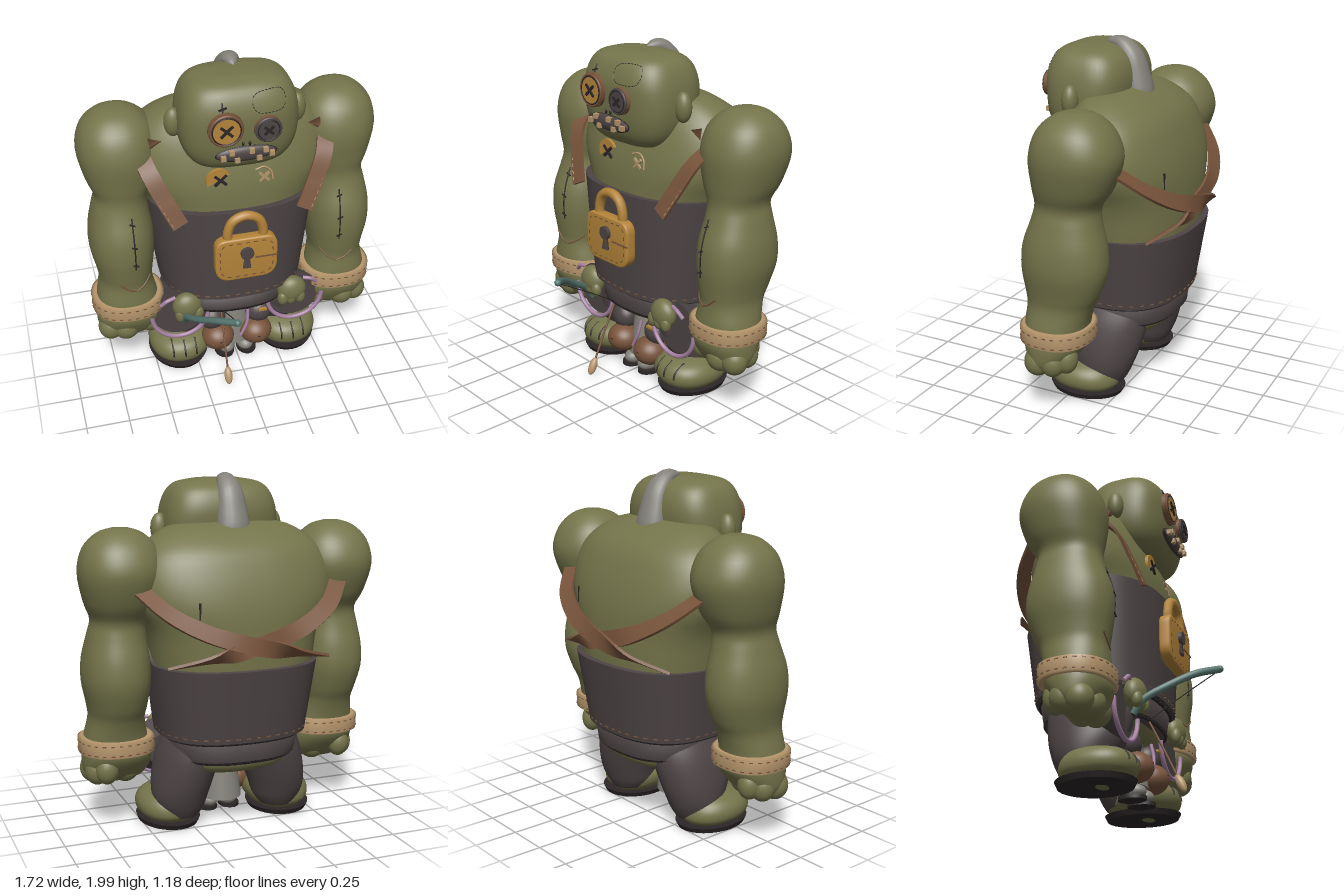
import * as THREE from 'three';
import { toCreasedNormals } from 'three/addons/utils/BufferGeometryUtils.js';

const V = (x, y, z) => new THREE.Vector3(x, y, z);
const mat = (name, color) => { const m = new THREE.MeshStandardMaterial({ color }); m.name = name; return m; };

export function createModel() {
  const root = new THREE.Group();
  root.name = 'stitchedOgre';
  const green = mat('olive skin', 0x74744b), dark = mat('dark cloth', 0x4e4545), brown = mat('brown leather', 0x78543c),
    gold = mat('brass', 0xb5853a), tan = mat('tan', 0xb6966c), grey = mat('horn grey', 0x84827a),
    pink = mat('pink trim', 0xa883a4), teal = mat('teal', 0x56766f), black = mat('black', 0x2c2627);

  const add = (name, geo, m, p = [0, 0, 0], s = [1, 1, 1], r = [0, 0, 0]) => {
    const o = new THREE.Mesh(geo, m);
    o.name = name; o.position.set(...p); o.scale.set(...s); o.rotation.set(...r);
    root.add(o);
    return o;
  };
  const ball = (name, m, p, s, r) => add(name, new THREE.SphereGeometry(1, 28, 18), m, p, s, r);
  const box = (name, m, p, s, r) => add(name, new THREE.BoxGeometry(1, 1, 1), m, p, s, r);
  const disc = (name, m, p, r, h) => add(name, new THREE.CylinderGeometry(r, r, h, 32), m, p, [1, 1, 1], [Math.PI / 2, 0, 0]);
  const curve = (pts, closed) => new THREE.CatmullRomCurve3(pts, closed);
  const tube = (name, m, pts, r) => add(name, new THREE.TubeGeometry(curve(pts), 28, r, 8), m);

  // Surface through closed rings of points, with fan caps
  const grid = (rings) => {
    const n = rings[0].length, pos = [], idx = [];
    rings.forEach(r => r.forEach(p => pos.push(p.x, p.y, p.z)));
    for (let i = 0; i < rings.length - 1; i++) for (let j = 0; j < n; j++) {
      const a = i * n + j, b = i * n + (j + 1) % n;
      idx.push(a, a + n, b, b, a + n, b + n);
    }
    [rings[0], rings[rings.length - 1]].forEach((r, e) => {
      const c = r.reduce((s, p) => s.add(p), V(0, 0, 0)).divideScalar(n), k = pos.length / 3;
      pos.push(c.x, c.y, c.z);
      const o = e ? (rings.length - 1) * n : 0;
      for (let j = 0; j < n; j++) { const a = o + j, b = o + (j + 1) % n; e ? idx.push(k, b, a) : idx.push(k, a, b); }
    });
    const g = new THREE.BufferGeometry();
    g.setAttribute('position', new THREE.Float32BufferAttribute(pos, 3));
    g.setIndex(idx);
    g.computeVertexNormals();
    return g;
  };
  // Rounded-square cross-section; a section is [y, centre x, half width, front z, back z]
  const pw = (v, n) => Math.sign(v) * Math.abs(v) ** (2 / n);
  const point = (s, a, n) => V(s[1] + s[2] * pw(Math.cos(a), n), s[0], (s[3] + s[4]) / 2 + (s[3] - s[4]) / 2 * pw(Math.sin(a), n));
  const ring = (s, n, seg = 56) => Array.from({ length: seg }, (_, j) => point(s, j / seg * Math.PI * 2, n));
  const smooth = (secs, k = 4) => {
    const out = [];
    for (let i = 0; i < secs.length - 1; i++) for (let q = 0; q < k; q++) {
      const a = secs[Math.max(i - 1, 0)], b = secs[i], c = secs[i + 1], d = secs[Math.min(i + 2, secs.length - 1)], t = q / k;
      out.push(b.map((_, m) => 0.5 * (2 * b[m] + (c[m] - a[m]) * t + (2 * a[m] - 5 * b[m] + 4 * c[m] - d[m]) * t * t + (3 * b[m] - a[m] - 3 * c[m] + d[m]) * t ** 3)));
    }
    out.push(secs[secs.length - 1]);
    return out;
  };
  const loft = (name, m, secs, n) => add(name, grid(secs.map(s => ring(s, n))), m);
  const at = (secs, y) => {
    let i = secs.findIndex(s => s[0] >= y);
    i = Math.max(i < 0 ? secs.length - 1 : i, 1);
    const a = secs[i - 1], b = secs[i], t = (y - a[0]) / (b[0] - a[0]);
    return a.map((v, k) => v + (b[k] - v) * t);
  };
  // Front point of a lofted surface at x, y
  const on = (secs, n, x, y, lift = 0.002) => {
    const s = at(secs, y), d = Math.max(0, 1 - Math.abs((x - s[1]) / s[2]) ** n) ** (1 / n);
    return V(x, y, (s[3] + s[4]) / 2 + (s[3] - s[4]) / 2 * d + lift);
  };
  const dashes = (name, m, c, n, len = 0.025, w = 0.008) => {
    for (let i = 0; i < n; i++) {
      const p = c.getPointAt((i + 0.5) / n), o = box(name, m, [p.x, p.y, p.z], [w, w, len]);
      o.lookAt(p.clone().add(c.getTangentAt((i + 0.5) / n)));
    }
  };
  const cross = (name, m, x, y, z, l) => [0.75, -0.75].forEach(a => box(name, m, [x, y, z], [l, 0.014, 0.012], [0, 0, a]));
  // Flat leather strap whose width runs sideways across the body
  const strap = (name, pts, w, taper) => {
    const c = curve(pts), rings = [];
    for (let i = 0; i <= 32; i++) {
      const t = i / 32, p = c.getPoint(t), d = c.getTangent(t);
      const out = V(0, -d.z, d.y).normalize(), side = d.clone().cross(out);
      const h = w / 2 * (taper && t > 0.75 ? 1.05 - (t - 0.75) * 4 : 1);
      rings.push([[1, 1], [-1, 1], [-1, -1], [1, -1]].map(([a, b]) => p.clone().addScaledVector(side, a * h).addScaledVector(out, b * 0.008)));
    }
    add(name, toCreasedNormals(grid(rings), 0.7), brown);
  };

  // Torso
  const torso = smooth([[0.33, 0, 0.12, -0.05, -0.28], [0.37, 0, 0.3, 0.08, -0.4], [0.45, 0, 0.36, 0.14, -0.44], [0.6, 0, 0.39, 0.18, -0.48],
    [0.9, 0, 0.45, 0.2, -0.53], [1.15, 0, 0.49, 0.2, -0.538], [1.32, 0, 0.57, 0.19, -0.525], [1.48, 0, 0.57, 0.15, -0.48],
    [1.61, 0, 0.5, 0.1, -0.41], [1.71, 0, 0.35, 0.03, -0.27], [1.74, 0, 0.15, -0.03, -0.18]]);
  loft('torso', green, torso, 2.4);

  // Overalls: high bib in front, lower edge behind
  const cloth = [[0.55, 0, 0.425, 0.22, -0.505], [0.97, 0, 0.48, 0.24, -0.566], [1.18, 0, 0.508, 0.243, -0.57]];
  const rows = [];
  for (let i = -1; i <= 13; i++) {
    const t = Math.min(Math.max(i / 12, 0), 1), k = i < 0 || i > 12 ? 0.95 : 1;
    rows.push(Array.from({ length: 72 }, (_, j) => {
      const a = j / 72 * Math.PI * 2, bib = THREE.MathUtils.smoothstep(Math.sin(a), -0.1, 0.3);
      const p = point(at(cloth, 0.56 + t * (0.41 + 0.21 * bib)), a, 2.5);
      return V(p.x * k, p.y, (p.z + 0.16) * k - 0.16);
    }));
  }
  add('overalls', toCreasedNormals(grid(rows), 0.9), dark);
  loft('trousersSeat', dark, [[0.42, 0, 0.34, 0.16, -0.45], [0.44, 0, 0.365, 0.175, -0.465], [0.6, 0, 0.4, 0.195, -0.49]], 2.5);
  dashes('hemStitch', brown, curve(ring([0.585, 0, 0.427, 0.223, -0.512], 2.5, 40), true), 44, 0.025, 0.006);
  loft('hemShadowLine', black, [[0.545, 0, 0.405, 0.2, -0.49], [0.562, 0, 0.423, 0.22, -0.503]], 2.5);
  loft('lowerBelt', black, [[0.425, 0, 0.355, 0.175, -0.455], [0.44, 0, 0.37, 0.18, -0.467]], 2.5);

  // Head
  const head = smooth([[1.44, 0, 0.14, 0.15, -0.02], [1.46, 0, 0.23, 0.205, -0.08], [1.51, 0, 0.285, 0.245, -0.135], [1.59, 0, 0.32, 0.27, -0.175],
    [1.69, 0, 0.332, 0.28, -0.195], [1.8, 0, 0.322, 0.28, -0.2], [1.89, 0, 0.288, 0.25, -0.17], [1.94, 0, 0.23, 0.2, -0.11], [1.962, 0, 0.12, 0.12, -0.02]]);
  loft('head', green, head, 3);
  // Horn curling up behind the head
  const hornPath = curve([V(0, 1.63, -0.215), V(0, 1.77, -0.19), V(0, 1.89, -0.155), V(0, 1.955, -0.09), V(0, 1.96, 0)]);
  const hornRings = Array.from({ length: 25 }, (_, i) => {
    const t = i / 24, p = hornPath.getPoint(t), d = hornPath.getTangent(t), u = V(0, -d.z, d.y), r = 0.104 * Math.sqrt(1.001 - t) * Math.min(1, 0.7 + t * 3);
    return Array.from({ length: 20 }, (_, j) => {
      const a = j / 20 * Math.PI * 2;
      return p.clone().add(V(r * Math.cos(a), 0, 0)).addScaledVector(u, r * 0.8 * Math.sin(a));
    });
  });
  add('horn', grid(hornRings), grey);

  // Face: button eyes, mouth, teeth, nostrils, sewn patch
  [[-0.115, 1.742, 0.092, gold], [0.112, 1.72, 0.07, dark]].forEach(([x, y, r, m]) => {
    disc('eyeRim', brown, [x, y, 0.289], r + 0.004, 0.022);
    disc('eyeButton', m, [x, y, 0.301], r * 0.84, 0.02);
    add('eyeEdge', new THREE.TorusGeometry(r * 0.93, 0.008, 8, 36), m === gold ? brown : dark, [x, y, 0.304]);
    add('eyeGroove', new THREE.TorusGeometry(r * 0.83, 0.004, 6, 36), black, [x, y, 0.31]);
    cross('eyeStitch', black, x, y, 0.313, r * 0.95);
  });
  ball('mouth', dark, [0, 1.578, 0.272], [0.168, 0.045, 0.026]);
  add('lip', new THREE.TorusGeometry(1, 0.03, 6, 40), black, [0, 1.578, 0.275], [0.166, 0.045, 0.1]);
  [[-0.13, 1.575], [-0.085, 1.603], [-0.055, 1.556], [0.025, 1.603], [0.065, 1.557], [0.1, 1.6], [0.135, 1.575]].forEach(([x, y]) =>
    box('tooth', tan, [x, y, 0.296], [0.027, 0.027, 0.024]));
  [-0.018, 0.018].forEach(x => ball('nostril', black, [x, 1.64, 0.279], [0.007, 0.014, 0.008]));
  const patch = [[0.05, 1.9], [0.13, 1.915], [0.2, 1.905], [0.22, 1.86], [0.2, 1.815], [0.13, 1.805], [0.06, 1.815], [0.035, 1.86]];
  dashes('patchStitch', black, curve(patch.map(([x, y]) => on(head, 3, x, y, 0)), true), 26, 0.014, 0.003);
  tube('browSeam', black, [1.83, 1.86, 1.88].map(y => on(head, 3, -0.125, y)), 0.004);
  box('browTick', black, on(head, 3, -0.125, 1.85).toArray(), [0.045, 0.008, 0.01], [0, 0, 0.3]);

  // Chest buttons
  const chest = (x, y) => on(torso, 2.4, x, y);
  add('chestButton', new THREE.CylinderGeometry(0.07, 0.07, 0.018, 24, 1, false, 0, Math.PI), gold, chest(-0.13, 1.37).toArray(), [1, 1, 1], [Math.PI / 2, 2.05, 0]);
  cross('chestStitch', black, -0.12, 1.37, chest(-0.12, 1.37).z + 0.01, 0.09);
  tube('chestArc', tan, [[0.08, 1.4], [0.13, 1.41], [0.17, 1.38], [0.18, 1.33]].map(([x, y]) => chest(x, y)), 0.005);
  cross('chestTick', tan, 0.13, 1.355, chest(0.13, 1.355).z, 0.075);
  box('backStitch', black, [0.3, 1.3, -0.488], [0.01, 0.09, 0.012]);

  // Padlock on the bib
  const lock = new THREE.Shape(), w = 0.17, b = 0.77, t = 1.03, c = 0.085;
  lock.moveTo(-w + c, b).lineTo(w - c, b).quadraticCurveTo(w, b, w, b + c).lineTo(w, t - c * 0.7).quadraticCurveTo(w, t, w - c * 0.7, t)
    .lineTo(-w + c * 0.7, t).quadraticCurveTo(-w, t, -w, t - c * 0.7).lineTo(-w, b + c).quadraticCurveTo(-w, b, -w + c, b);
  add('padlock', toCreasedNormals(new THREE.ExtrudeGeometry(lock, { depth: 0.045, bevelSize: 0.01, bevelThickness: 0.01, bevelSegments: 3 }), 0.6), gold, [0, 0, 0.25]);
  box('padlockSeam', brown, [0.115, 0.905, 0.305], [0.13, 0.009, 0.008]);
  tube('shackle', gold, [V(-0.1, 1.0, 0.268), V(-0.1, 1.08, 0.268), V(-0.07, 1.145, 0.268), V(0, 1.172, 0.268), V(0.07, 1.145, 0.268), V(0.1, 1.08, 0.268), V(0.1, 1.0, 0.268)], 0.028);
  disc('keyhole', dark, [0, 0.945, 0.31], 0.038, 0.03);
  add('keyholeSlot', new THREE.CylinderGeometry(0.016, 0.032, 0.09, 4, 1, false, Math.PI / 4), dark, [0, 0.89, 0.308], [1, 1, 0.5]);
  dashes('padlockStitch', brown, curve(lock.getSpacedPoints(24).slice(0, 24).map(p => V(p.x * 0.9, 0.9 + (p.y - 0.9) * 0.87, 0.304)), true), 20, 0.022, 0.006);

  for (const s of [1, -1]) {
    const X = secs => secs.map(q => [q[0], q[1] * s, q[2], q[3], q[4]]);
    ball('ear', green, [0.345 * s, 1.69, 0.045], [0.05, 0.085, 0.046]);

    // Arm with hand, seams and wrist band
    const arm = smooth(X([[0.275, 0.645, 0.09, 0.035, -0.05], [0.295, 0.645, 0.145, 0.075, -0.085], [0.35, 0.64, 0.188, 0.11, -0.135], [0.42, 0.638, 0.197, 0.14, -0.185], [0.48, 0.64, 0.19, 0.14, -0.2],
      [0.56, 0.645, 0.175, 0.14, -0.21], [0.66, 0.645, 0.155, 0.13, -0.24], [0.74, 0.645, 0.165, 0.14, -0.28], [0.87, 0.65, 0.186, 0.155, -0.32], [1, 0.65, 0.183, 0.145, -0.315], [1.13, 0.645, 0.16, 0.1, -0.285],
      [1.22, 0.635, 0.152, 0.08, -0.28], [1.32, 0.63, 0.195, 0.09, -0.34], [1.48, 0.63, 0.228, 0.1, -0.39], [1.61, 0.63, 0.2, 0.06, -0.35], [1.69, 0.63, 0.125, -0.02, -0.27], [1.718, 0.63, 0.05, -0.1, -0.2]]));
    loft('arm', green, arm, 2.2);
    const onArm = (x, y) => on(arm, 2.2, x * s, y);
    tube('armSeam', black, [0.82, 0.93, 1.03, 1.14].map(y => onArm(0.605, y)), 0.004);
    [0.85, 0.97, 1.1].forEach(y => box('armSeamTick', black, onArm(0.605, y).toArray(), [0.035, 0.006, 0.01], [0, 0, 0.4 * s]));
    [[0.7, 0.715], [0.515, 0.715]].forEach(([x, y]) => tube('forearmFold', brown, [onArm(x, y), onArm((x + 0.605) / 2, 0.672), onArm(0.605, 0.65)], 0.005));
    loft('wristBand', tan, X([[0.455, 0.64, 0.195, 0.15, -0.22], [0.462, 0.64, 0.213, 0.163, -0.233], [0.543, 0.642, 0.213, 0.163, -0.233], [0.55, 0.642, 0.195, 0.15, -0.22]]), 2.3);
    [0.475, 0.53].forEach(y => dashes('bandStitch', brown, curve(ring([y, 0.641 * s, 0.212, 0.162, -0.232], 2.3, 28), true), 28, 0.02, 0.006));
    // Fingers and thumb
    [[0.762, 0.345, 0.03, 0.075], [0.76, 0.355, -0.06, 0.07], [0.72, 0.37, -0.12, 0.065], [0.675, 0.345, 0.05, 0.08], [0.525, 0.355, 0.02, 0.08], [0.59, 0.345, -0.03, 0.08]].forEach(([x, y, z, r]) =>
      ball('finger', green, [x * s, y, z], [r, 0.083, r]));

    // Leg, foot, toe lines and sole
    loft('leg', dark, smooth(X([[0.07, 0.3, 0.11, 0, -0.255], [0.12, 0.3, 0.14, 0.02, -0.285], [0.19, 0.3, 0.16, 0.04, -0.315], [0.3, 0.28, 0.175, 0.09, -0.35], [0.45, 0.24, 0.18, 0.11, -0.375], [0.58, 0.2, 0.16, 0.08, -0.36]])), 2);
    const foot = smooth(X([[0.035, 0.34, 0.125, 0.1, -0.21], [0.075, 0.34, 0.175, 0.155, -0.25], [0.13, 0.335, 0.19, 0.168, -0.25], [0.18, 0.33, 0.165, 0.14, -0.22], [0.21, 0.32, 0.11, 0.07, -0.17], [0.22, 0.32, 0.04, 0, -0.12]]));
    loft('foot', green, foot, 2.2);
    [0.27, 0.34, 0.41].forEach(x => tube('toeLine', black, [0.12, 0.16, 0.2].map(y => on(foot, 2.2, x * s, y)), 0.005));
    add('sole', new THREE.CylinderGeometry(1, 0.93, 0.03, 36), black, [0.345 * s, 0.028, -0.055], [0.182, 1, 0.222], [0, 0, 0.03 * s]);
    ball('solePatch', green, [0.34 * s, 0.012, -0.02], [0.05, 0.004, 0.035]);

    // Shoulder straps front and back
    strap('frontStrap', [V(0.355 * s, 1.13, 0.22), V(0.425 * s, 1.27, 0.175), V(0.495 * s, 1.42, 0.11), V(0.54 * s, 1.53, -0.02)], 0.095);
    strap('backStrap', [V(0.59 * s, 1.42, -0.33), V(0.46 * s, 1.29, -0.465), V(0.28 * s, 1.19, -0.538), V(0.05 * s, 1.115, -0.562 - 0.006 * s), V(-0.2 * s, 1.06, -0.556), V(-0.47 * s, 1.0, -0.465)], 0.095, true);
    dashes('strapStitch', tan, curve([V(0.392 * s, 1.125, 0.23), V(0.462 * s, 1.262, 0.185), V(0.53 * s, 1.41, 0.12)]), 8, 0.02, 0.004);
    add('strapTip', new THREE.ConeGeometry(0.04, 0.07, 3), brown, [0.445 * s, 1.575, 0.05], [1, 1, 0.5], [0, 0, 1.4 * s]);

    // Small passenger: trimmed sleeve, hand, trousers, shoe and boot
    add('smallSleeve', new THREE.CylinderGeometry(0.16, 0.1, 0.14, 28), dark, [0.355 * s, 0.42, 0.025], [1, 1, 1], [Math.PI / 2, 0, 0]);
    add('sleeveTrim', new THREE.TorusGeometry(0.17, 0.013, 10, 44, 3.25), pink, [0.355 * s, 0.42, 0.115], [1, 1, 1], [0, s > 0 ? 0 : Math.PI, 3.08]);
    tube('sleeveTopTrim', pink, [V(0.39 * s, 0.575, 0.15), V(0.44 * s, 0.565, 0.16), V(0.475 * s, 0.53, 0.15)], 0.012);
    ball('smallHand', green, [0.32 * s, 0.51, 0.155], [0.088, 0.088, 0.06]);
    [-0.06, -0.01, 0.045].forEach(d => ball('smallFinger', green, [(0.32 + d) * s, 0.465, 0.18], [0.033, 0.048, 0.03]));
    ball('smallTrousers', dark, [0.145 * s, 0.3, 0.05], [0.08, 0.08, 0.07]);
    ball('smallShoe', brown, [0.12 * s, 0.175, 0.08], [0.1, 0.085, 0.1]);
    dashes('shoeStitch', black, curve([V(0.05 * s, 0.17, 0.152), V(0.12 * s, 0.19, 0.178), V(0.19 * s, 0.17, 0.152)]), 5, 0.018, 0.004);
    ball('smallBoot', grey, [0.06 * s, 0.06, 0.04], [0.055, 0.045, 0.075]);
    add('smallBootSole', new THREE.CylinderGeometry(1, 1, 0.02, 24), black, [0.07 * s, 0.02, 0.04], [0.06, 1, 0.08]);
  }
  add('smallRobe', new THREE.CylinderGeometry(0.08, 0.12, 0.3, 24), grey, [0, 0.25, -0.02]);
  tube('robeTrim', pink, [V(0.065, 0.36, 0.1), V(0.055, 0.27, 0.12), V(0.015, 0.18, 0.125)], 0.01);
  box('smallBuckle', gold, [0.155, 0.345, 0.11], [0.05, 0.014, 0.02]);

  // Bent rod with line, stick and bait
  tube('rod', teal, [V(-0.34, 0.39, 0.15), V(-0.34, 0.46, 0.2), V(-0.3, 0.54, 0.33), V(-0.22, 0.62, 0.46), V(-0.12, 0.67, 0.565)], 0.02);
  ball('rodTip', teal, [-0.12, 0.67, 0.565], [0.02, 0.02, 0.02]);
  tube('line', black, [V(-0.115, 0.665, 0.56), V(-0.115, 0.555, 0.36), V(-0.115, 0.44, 0.165)], 0.003);
  tube('stick', brown, [V(-0.115, 0.46, 0.14), V(-0.115, 0.27, 0.232), V(-0.115, 0.08, 0.32)], 0.006);
  ball('bait', tan, [-0.115, 0.06, 0.33], [0.024, 0.055, 0.024], [-0.44, 0, 0]);
  return root;
}
